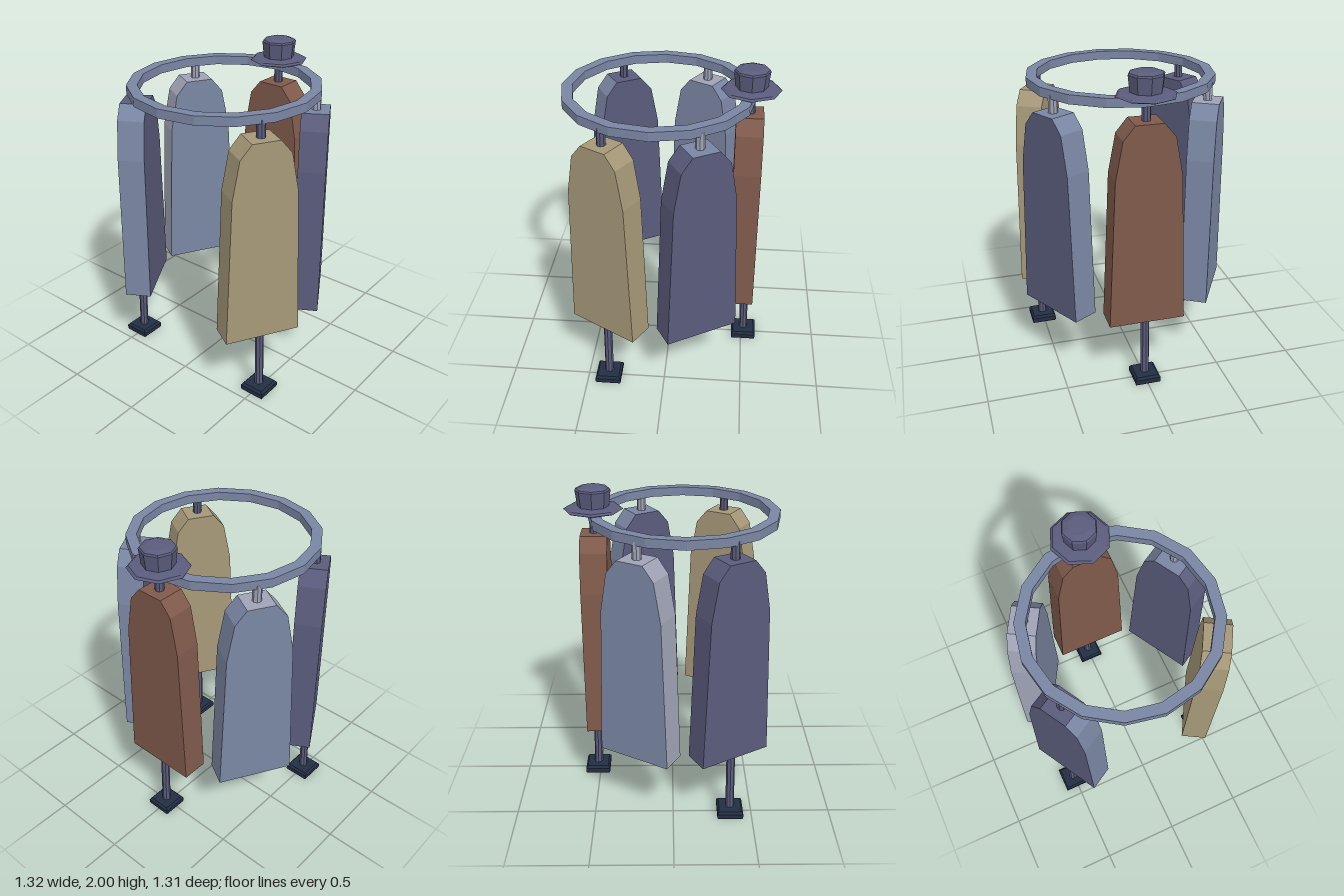
import * as THREE from 'three';

const RACK_Z = 0.07; // centre of the round rack
const HANG_R = 0.545; // radius on which garments hang

function material(name, color) {
  const m = new THREE.MeshStandardMaterial({ color, flatShading: true });
  m.name = name;
  return m;
}

export function createModel() {
  const model = new THREE.Group();
  const purple = material('dusk purple', 0x5a5c7c);
  const slate = material('slate blue', 0x7a86a3);
  const paleGrey = material('pale grey', 0x9fa3b6);
  const tan = material('tan', 0xa69878);
  const brown = material('brown', 0x7f5a4b);
  const navy = material('dark navy', 0x222e42);

  const add = (name, geometry, mat) => {
    const mesh = new THREE.Mesh(geometry, mat);
    mesh.name = name;
    model.add(mesh);
    return mesh;
  };
  const lathe = (profile, sides, phi = 0) =>
    new THREE.LatheGeometry(profile.map(([r, y]) => new THREE.Vector2(r, y)), sides, phi);
  const onCircle = (deg, r, y) => {
    const a = THREE.MathUtils.degToRad(deg);
    return new THREE.Vector3(Math.sin(a) * r, y, RACK_Z + Math.cos(a) * r);
  };
  const rod = (name, from, to, radius, mat) => {
    const dir = to.clone().sub(from);
    const mesh = add(name, new THREE.CylinderGeometry(radius, radius, dir.length(), 8), mat);
    mesh.position.copy(from).add(to).multiplyScalar(0.5);
    mesh.quaternion.setFromUnitVectors(new THREE.Vector3(0, 1, 0), dir.normalize());
  };

  // Hanging rail
  add('ringRail', lathe(
    [[0.515, 1.8], [0.58, 1.8], [0.58, 1.855], [0.515, 1.855], [0.515, 1.8]], 16), slate)
    .position.z = RACK_Z;

  // Three legs leaning slightly inwards, each on a square foot
  const k = Math.SQRT2;
  const footShape = lathe(
    [[0, 0], [0.078 * k, 0], [0.082 * k, 0.01], [0.082 * k, 0.035], [0.07 * k, 0.05], [0, 0.05]],
    4, Math.PI / 4);
  for (const deg of [60, -60, 180]) {
    rod('leg', onCircle(deg, 0.585, 0.04), onCircle(deg, HANG_R, 1.82), 0.027, purple);
    add('foot', footShape, navy).position.copy(onCircle(deg, 0.585, 0));
  }

  // Hooks for the garments that hang between legs
  for (const deg of [120, -120]) {
    rod('hook', onCircle(deg, HANG_R, 1.68), onCircle(deg, HANG_R, 1.82), 0.028, paleGrey);
  }

  // Garments: tapered slabs; the first trimEdges of the side walls form the shoulders
  const outline = [[-0.237, 0.44], [0.237, 0.44], [0.2, 1.39], [0.155, 1.63],
    [0.085, 1.715], [-0.085, 1.715], [-0.155, 1.63], [-0.2, 1.39]];
  const depth = 0.165;
  const garments = [
    { deg: 60, body: tan, trim: tan, trimEdges: 5 },
    { deg: -60, body: purple, trim: slate, trimEdges: 4 },
    { deg: 120, body: purple, trim: slate, trimEdges: 5 },
    { deg: -120, body: slate, trim: paleGrey, trimEdges: 5 },
    { deg: 180, body: brown, trim: brown, trimEdges: 5 },
  ];
  for (const { deg, body, trim, trimEdges } of garments) {
    const shape = new THREE.Shape(outline.map(([x, y]) => new THREE.Vector2(x, y)));
    const geometry = new THREE.ExtrudeGeometry(shape, { depth, bevelEnabled: false });
    geometry.translate(0, 0, -depth / 2);
    const start = geometry.groups[1].start;
    const trimCount = trimEdges * 6;
    geometry.clearGroups();
    geometry.addGroup(0, start, 0);
    geometry.addGroup(start, trimCount, 1);
    geometry.addGroup(start + trimCount, outline.length * 6 - trimCount, 0);
    const coat = add('coat', geometry, [body, trim]);
    coat.position.copy(onCircle(deg, HANG_R, 0));
    coat.rotation.y = THREE.MathUtils.degToRad(deg);
  }

  // Brimmed hat resting on the rail at the back
  const hat = new THREE.Group();
  hat.name = 'hat';
  const brim = new THREE.Mesh(lathe(
    [[0, 1.855], [0.165, 1.855], [0.18, 1.862], [0.165, 1.873], [0.09, 1.882], [0, 1.882]], 8), purple);
  brim.name = 'hatBrim';
  const crown = new THREE.Mesh(lathe(
    [[0.095, 1.875], [0.098, 1.9], [0.107, 1.978], [0.1, 1.988], [0.065, 2], [0, 2]], 8), purple);
  crown.name = 'hatCrown';
  hat.add(brim, crown);
  hat.position.copy(onCircle(180, HANG_R, 0));
  model.add(hat);

  return model;
}
